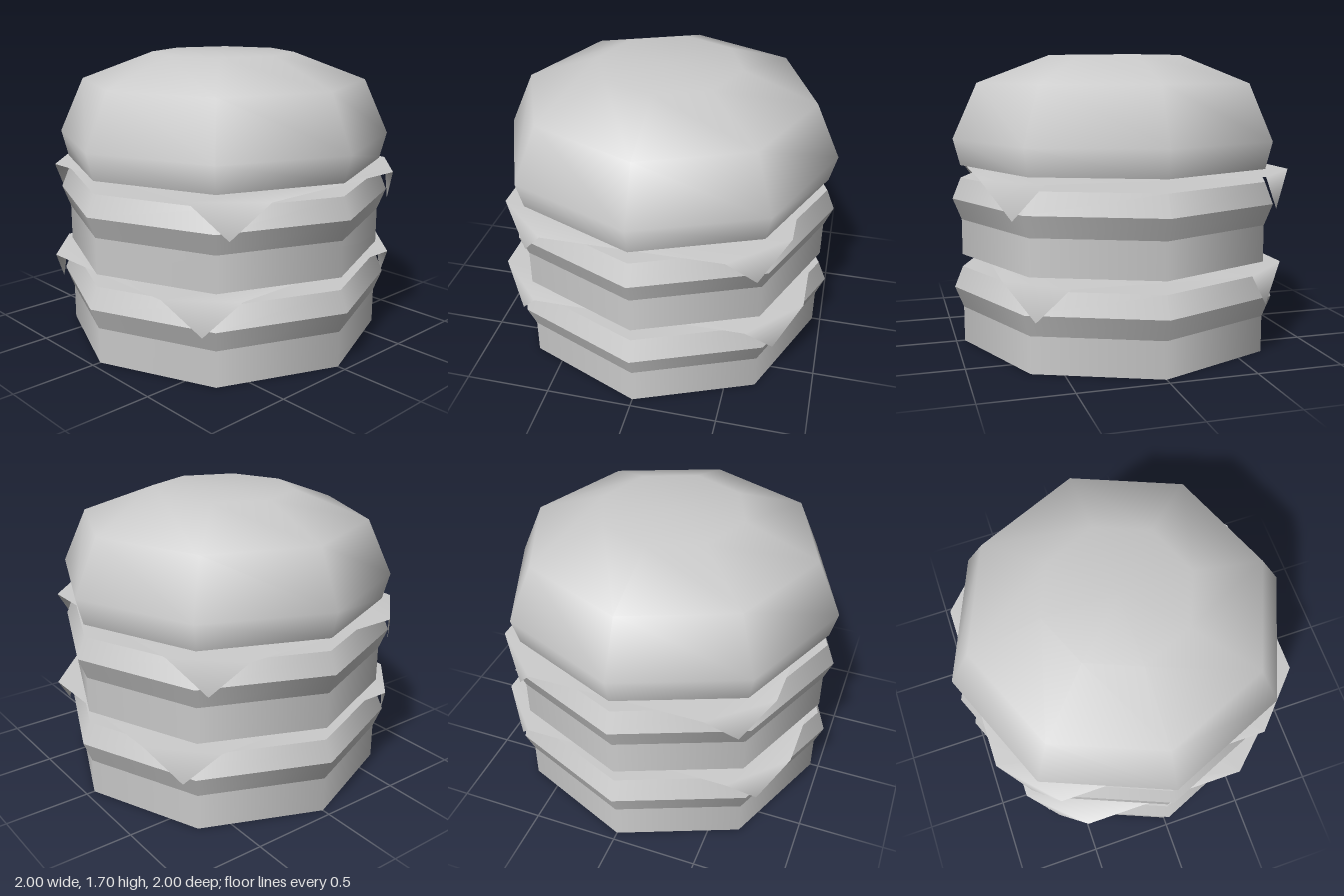
import * as THREE from 'three';

const SIDES = 8;
const grey = new THREE.MeshStandardMaterial({ color: 0xcccccc });
const greyThin = new THREE.MeshStandardMaterial({ color: 0xcccccc, side: THREE.DoubleSide });

function addMesh(parent, name, geometry, material = grey) {
  const mesh = new THREE.Mesh(geometry, material);
  mesh.name = name;
  parent.add(mesh);
  return mesh;
}

// Eight-sided band from (rBottom, y0) up to (rTop, y1)
function band(rBottom, y0, rTop, y1) {
  return new THREE.CylinderGeometry(rTop, rBottom, y1 - y0, SIDES).translate(0, (y0 + y1) / 2, 0);
}

// Thin slice with four cut corners, each with a triangular flap hanging down
function cheeseGeometry(a, b, c, d, y, drop) {
  // one fold edge per quadrant: (a, b) to (c, d), in order around the slice
  const rim = [[a, b], [c, d], [c, -d], [a, -b], [-a, -b], [-c, -d], [-c, d], [-a, b]];
  const positions = [];
  const index = [];
  rim.forEach(([x, z]) => positions.push(x, y, z));
  for (let i = 1; i < 7; i++) index.push(0, i, i + 1);
  for (let i = 0; i < 8; i += 2) {
    const [p, q] = [rim[i], rim[i + 1]];
    positions.push((p[0] + q[0]) / 2, y - drop, (p[1] + q[1]) / 2);
    index.push(i, 8 + i / 2, i + 1);
  }
  const geometry = new THREE.BufferGeometry();
  geometry.setAttribute('position', new THREE.Float32BufferAttribute(positions, 3));
  geometry.setIndex(index);
  geometry.computeVertexNormals();
  return geometry;
}

export function createModel() {
  const burger = new THREE.Group();
  burger.name = 'burger';

  // Two storeys, each a bun slice, a patty with a bulging rim and a cheese slice
  const storeys = [
    { name: 'lower', y: 0, cheeseY: 0.51, fold: [0.5, 0.9, 0.81, 0.61] },
    { name: 'upper', y: 0.53, cheeseY: 1.035, fold: [0.61, 0.81, 0.9, 0.5] },
  ];
  for (const { name, y, cheeseY, fold } of storeys) {
    const storey = new THREE.Group();
    storey.name = name + 'Storey';
    burger.add(storey);
    addMesh(storey, name + 'Bun', band(0.95, y, 0.95, y + 0.21));
    const patty = new THREE.Group();
    patty.name = name + 'Patty';
    storey.add(patty);
    addMesh(patty, 'pattyLowerHalf', band(0.95, y + 0.21, 1, y + 0.335));
    addMesh(patty, 'pattyUpperHalf', band(1, y + 0.335, 0.95, y + 0.457));
    addMesh(storey, name + 'Cheese', cheeseGeometry(...fold, cheeseY, 0.207), greyThin);
  }

  // Domed top bun with a flat underside
  const crown = new THREE.Group();
  crown.name = 'topBun';
  burger.add(crown);
  const profile = [[0.95, 1.06], [0.99, 1.215], [0.845, 1.535], [0.42, 1.695], [0, 1.695]]
    .map(([r, y]) => new THREE.Vector2(r, y));
  addMesh(crown, 'topBunDome', new THREE.LatheGeometry(profile, SIDES));
  const base = new THREE.CircleGeometry(0.95, SIDES).rotateX(Math.PI / 2).translate(0, 1.06, 0);
  addMesh(crown, 'topBunUnderside', base);

  return burger;
}
